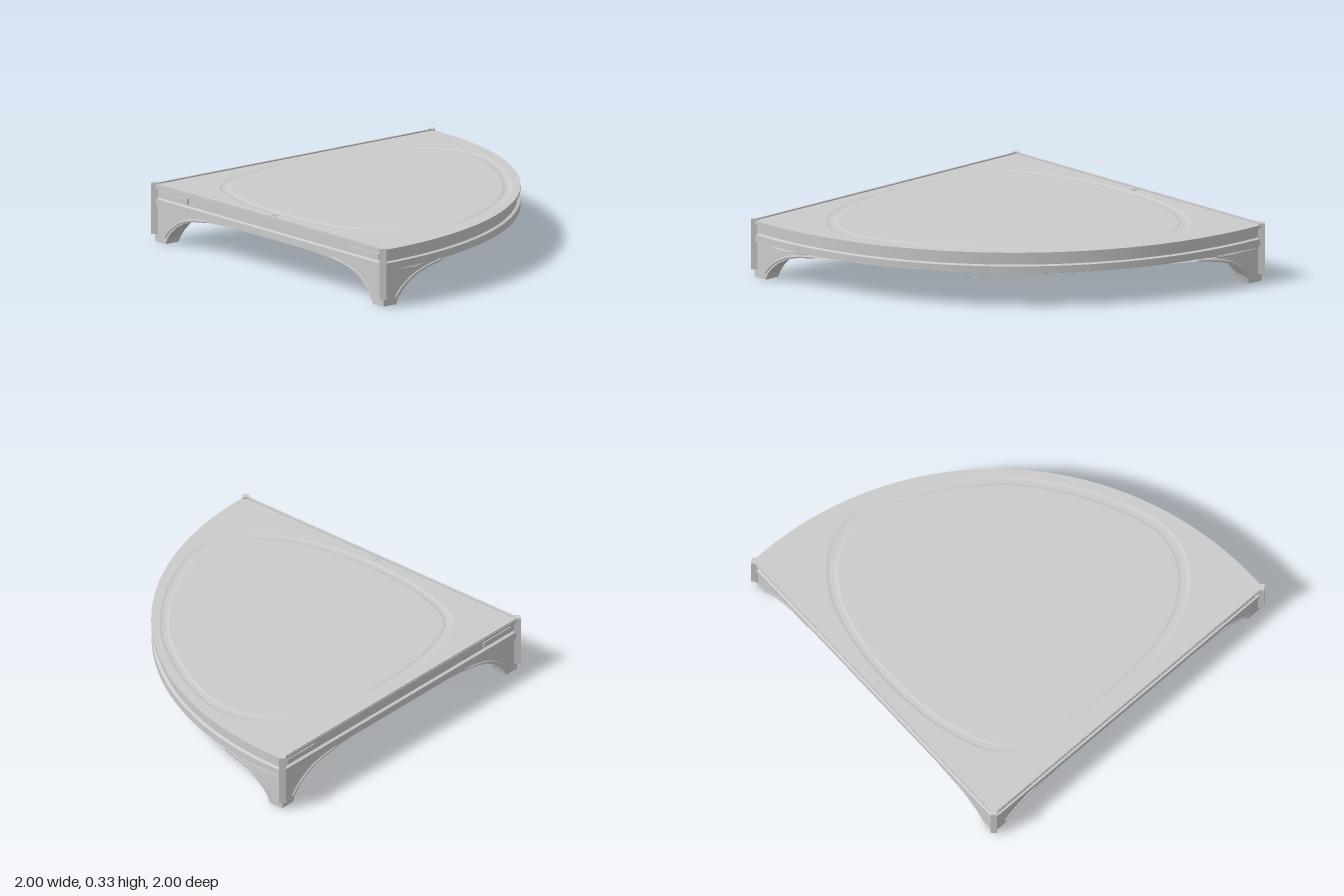
import * as THREE from 'three';
import { toCreasedNormals } from 'three/addons/utils/BufferGeometryUtils.js';

const E = 0.985, R = 1.97; // quarter-disc corner at (-E, E) and its radius
const material = new THREE.MeshStandardMaterial({ color: 0xcccccc });

// Skin a stack of closed rings of [x, y, z] points
function skin(rings, crease) {
  const n = rings[0].length, index = [];
  for (let j = 0; j < rings.length - 1; j++) {
    for (let i = 0; i < n; i++) {
      const a = j * n + i, b = j * n + (i + 1) % n;
      index.push(a, b, a + n, b, b + n, a + n);
    }
  }
  const g = new THREE.BufferGeometry();
  g.setAttribute('position', new THREE.Float32BufferAttribute(rings.flat(2), 3));
  g.setIndex(index);
  return toCreasedNormals(g, crease);
}

// Point on the slightly bulged arc, at angle a from the right corner, inset by o
function arc(a, o) {
  const r = R - o + 0.035 * Math.sin(2 * a);
  return [-E + r * Math.cos(a), E - r * Math.sin(a)];
}

// Quarter-disc outline inset by o, as [x, z] points
function outline(o) {
  const pts = [], n = 40, end = Math.asin(o / (R - o));
  const x1 = arc(end, o)[0];
  const lerp = THREE.MathUtils.lerp;
  for (let i = 0; i < n; i++) pts.push([lerp(-E + o, x1, i / n), E - o]);
  for (let i = 0; i < n; i++) pts.push(arc(lerp(end, Math.PI / 2 - end, i / n), o));
  for (let i = 0; i < n; i++) pts.push([-E + o, lerp(-x1, E - o, i / n)]);
  return pts;
}

// Rounded three-lobed loop, measured along rays from the centre
const C = [-0.15, 0.15];
const half = [[-0.71, 0.71], [-0.46, 0.83], [-0.1, 0.885], [0.3, 0.86], [0.58, 0.76],
  [0.75, 0.59], [0.8, 0.38], [0.69, 0.05], [0.47, -0.29]];
const mirror = ([x, z]) => [-z, -x];
const loopCurve = new THREE.CatmullRomCurve3(
  [...half, ...half.slice(1).reverse().map(mirror)].map(([x, z]) => new THREE.Vector3(x, 0, z)), true);
const loopPolar = loopCurve.getPoints(360).map(p => {
  const x = p.x - C[0], z = p.z - C[1];
  return { a: Math.atan2(z, x), r: Math.hypot(x, z) };
}).sort((p, q) => p.a - q.a);
function loopRadius(a) {
  const k = loopPolar.findIndex(p => p.a >= a);
  if (k <= 0) return loopPolar[0].r;
  const p = loopPolar[k - 1], q = loopPolar[k];
  return p.r + (q.r - p.r) * (a - p.a) / (q.a - p.a || 1);
}
function loop(scale) {
  return outline(0).map(([x, z]) => {
    const a = Math.atan2(z - C[1], x - C[0]), r = loopRadius(a) * scale;
    return [C[0] + r * Math.cos(a), C[1] + r * Math.sin(a)];
  });
}
const at = (pts, y) => pts.map(([x, z]) => [x, y, z]);

function platform() {
  const under = [[0, 0.237], [0.11, 0.235], [0.17, 0.224], [0.77, 0.222], [0.8, 0.207],
    [0.93, 0.205], [0.96, 0.212], [1.01, 0.212], [1.04, 0.195]];
  const side = [[0.02, 0.195], [0.004, 0.2], [0.004, 0.24], [0.02, 0.246], [0.02, 0.296],
    [0.002, 0.3], [0.002, 0.318]];
  const top = [[1.03, 0.318], [1.01, 0.314], [0.98, 0.314], [0.96, 0.318], [0, 0.318]];
  return skin([
    ...under.map(([s, y]) => at(loop(s), y)),
    ...side.map(([o, y]) => at(outline(o), y)),
    ...top.map(([s, y]) => at(loop(s), y)),
  ], 0.12);
}

// Leg profile: height, reach along the walls, reach along the diagonal
const legSteps = [[0, 0.09, 0.09], [0.035, 0.105, 0.1], [0.07, 0.135, 0.115], [0.11, 0.185, 0.14],
  [0.145, 0.25, 0.17], [0.17, 0.34, 0.205], [0.187, 0.46, 0.24], [0.2, 0.72, 0.28]];
const O = 0.012; // wall inset of the legs

// Wall points and sections for the square corner and for an arc end
const wallStraight = e => [-E + O + e, E - O];
const wallSide = e => [-E + O, E - O - e];
const wallArc = e => arc((e + O) / R, O);
const wallFront = e => [E - O - e, E - O];

function legSection(kind, e, d) {
  const [p, q] = kind === 0 ? [wallStraight, wallSide] : [wallArc, wallFront];
  const c = p(0), s = kind === 0 ? 1 : -1;
  const diag = [c[0] + s * d, c[1] - d];
  const pts = [c, p(e / 2), p(e), diag, q(e), q(e / 2)];
  return kind === 2 ? pts.map(mirror).reverse() : pts;
}

function leg(kind) {
  const rings = legSteps.map(([y, e, d]) => at(legSection(kind, e, d), y));
  const mid = legSection(kind, 0.09, 0.09)
    .reduce((m, p) => [m[0] + p[0] / 6, m[1] + p[1] / 6], [0, 0]);
  return skin([at(rings[0].map(() => mid), 0), ...rings], 0.3);
}

// Bead that follows the arch on one wall
function archTrim(wall) {
  const pts = legSteps.slice(1, 7).map(([y, e]) => {
    const [x, z] = wall(e - 0.02);
    return new THREE.Vector3(x, y + 0.004, z);
  });
  return new THREE.TubeGeometry(new THREE.CatmullRomCurve3(pts), 20, 0.008, 5);
}

export function createModel() {
  const model = new THREE.Group();
  const add = (name, geometry, x = 0, y = 0, z = 0, turn = 0) => {
    const m = new THREE.Mesh(geometry, material);
    m.name = name;
    m.position.set(x, y, z);
    m.rotation.y = turn;
    model.add(m);
  };
  add('platform', platform());

  // Legs and arch beads
  for (const kind of [0, 1, 2]) add('leg', leg(kind));
  for (const wall of [wallStraight, wallSide, wallArc, wallFront,
    e => mirror(wallArc(e)), e => mirror(wallFront(e))]) add('archTrim', archTrim(wall));

  // Corner posts, set diagonally
  for (const [x, z] of [[-1, 1], [1, 1], [-1, -1]]) {
    add('cornerPost', new THREE.BoxGeometry(0.036, 0.285, 0.036),
      x * 0.9745, 0.1855, z * 0.9745, Math.PI / 4);
  }

  // Raised blocks in the groove of the straight walls
  const block = new THREE.BoxGeometry(0.23, 0.03, 0.02);
  for (const s of [-1, 1]) {
    add('grooveBlock', block, s * 0.815, 0.271, 0.963);
    add('grooveBlock', block, -0.963, 0.271, s * 0.815, Math.PI / 2);
  }

  // Rim strips and the seam halfway along each straight edge
  const strip = new THREE.BoxGeometry(1.94, 0.012, 0.014);
  const tick = new THREE.BoxGeometry(0.006, 0.006, 0.05);
  add('rimStrip', strip, 0, 0.319, 0.973);
  add('rimStrip', strip, -0.973, 0.319, 0, Math.PI / 2);
  for (const s of [-1, 1]) {
    add('seam', tick, s * 0.01, 0.317, 0.945);
    add('seam', tick, -0.945, 0.317, s * 0.01, Math.PI / 2);
  }
  return model;
}
